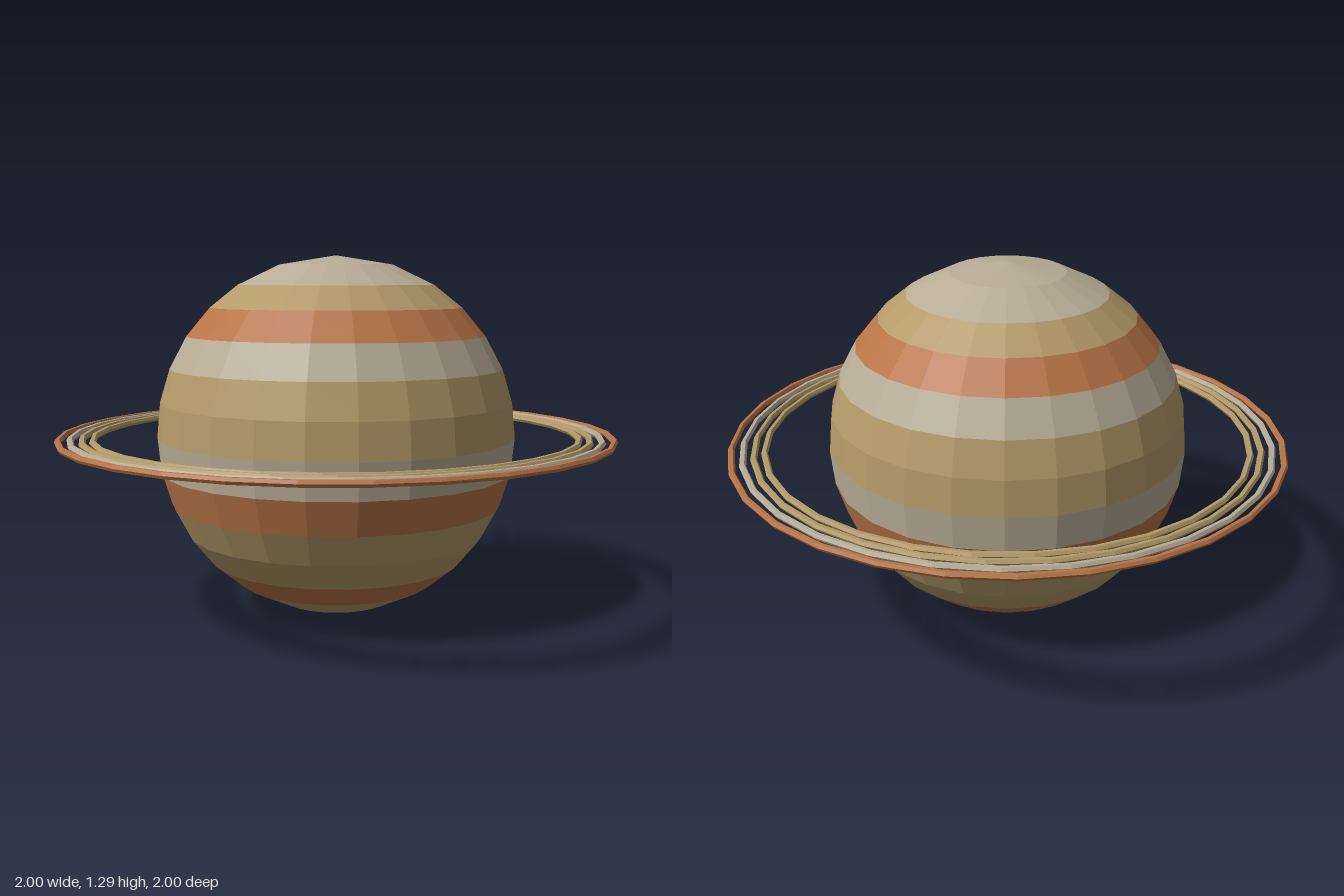
import * as THREE from 'three';

const R = 0.645;
const CENTER_Y = 0.645;

const material = (color) => new THREE.MeshStandardMaterial({ color, flatShading: true, roughness: 0.9 });
const cream = material(0xb8ac96);
const tan = material(0xb39a68);
const rust = material(0xb87446);

// A faceted band of the globe: heights run from bottom to top, relative to the centre
function globeBand(name, heights, mat, sides = 24) {
  const profile = heights.map((y) => new THREE.Vector2(Math.sqrt(Math.max(0, R * R - y * y)), y));
  const band = new THREE.Mesh(new THREE.LatheGeometry(profile, sides), mat);
  band.name = name;
  return band;
}

function ring(name, radius, mat, turn) {
  const geometry = new THREE.TorusGeometry(radius, 0.012, 6, 30);
  geometry.rotateX(Math.PI / 2).rotateY(turn);
  const mesh = new THREE.Mesh(geometry, mat);
  mesh.name = name;
  return mesh;
}

export function createModel() {
  const model = new THREE.Group();
  model.name = 'ringedPlanet';
  model.position.y = CENTER_Y;

  // Globe, striped from the south pole to the north pole
  const globe = new THREE.Group();
  globe.name = 'globe';
  globe.add(
    globeBand('southCap', [-R, -0.612, -0.54], tan),
    globeBand('southRustBand', [-0.54, -0.455], rust),
    globeBand('southTanBand', [-0.455, -0.355, -0.245], tan),
    globeBand('lowerRustBand', [-0.245, -0.125], rust),
    globeBand('lowerCreamBand', [-0.125, 0], cream),
    globeBand('equatorTanBand', [0, 0.125, 0.245], tan),
    globeBand('upperCreamBand', [0.245, 0.36], cream),
    globeBand('northRustBand', [0.36, 0.46], rust),
    globeBand('northTanBand', [0.46, 0.54], tan),
    globeBand('northCap', [0.54, 0.612, R], cream),
  );
  model.add(globe);

  // Thin concentric rings around the equator
  const rings = new THREE.Group();
  rings.name = 'rings';
  [
    ['innerTanRing', 0.87, tan],
    ['outerTanRing', 0.908, tan],
    ['creamRing', 0.948, cream],
    ['rustRing', 0.988, rust],
  ].forEach(([name, radius, mat], i) => rings.add(ring(name, radius, mat, i * 0.05)));
  model.add(rings);

  // Outer wrapper keeps the root at the origin
  const root = new THREE.Group();
  root.name = 'planetModel';
  root.add(model);
  return root;
}
